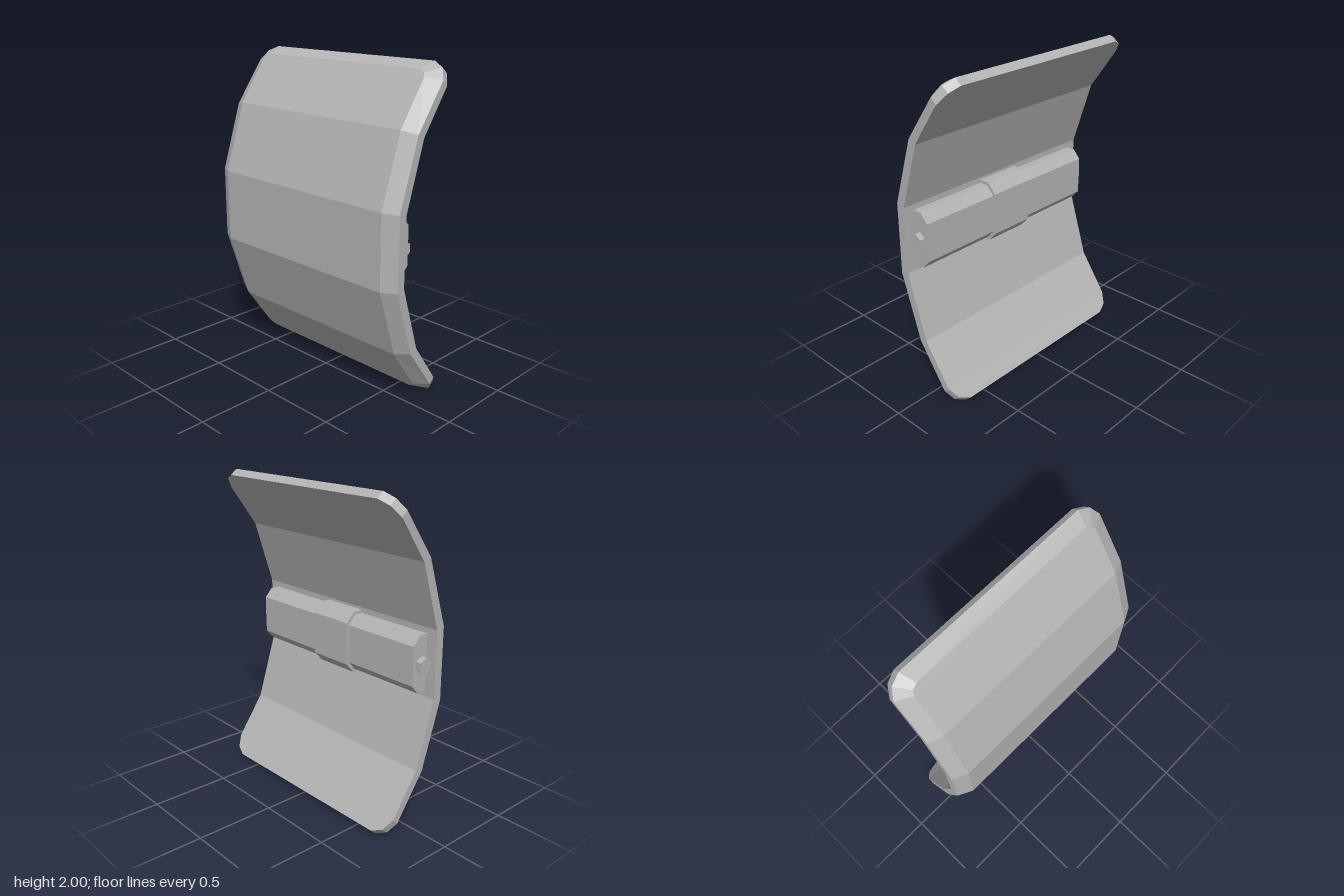
import * as THREE from 'three';

const grey = new THREE.MeshStandardMaterial({ color: 0xb4b4b4, flatShading: true });
grey.name = 'plain grey';

// Rows of the upper half as [half width, height above centre, z]
const FRONT = [[0.61, 0.96, -0.11], [0.645, 0.945, -0.1], [0.66, 0.92, -0.082], [0.66, 0.66, 0.1], [0.66, 0.23, 0.24]];
const RIM = [[0.64, 1, -0.2], [0.71, 0.97, -0.178], [0.75, 0.91, -0.135], [0.75, 0.64, 0.06], [0.75, 0.225, 0.195]];
const BACK = [[0.64, 0.965, -0.24], [0.71, 0.935, -0.218], [0.75, 0.875, -0.17], [0.75, 0.62, 0.01], [0.75, 0.21, 0.14]];

// Closed ring: down the +x side, then up the -x side
function ring(half) {
  const rows = [...half, ...half.map(([w, h, z]) => [w, -h, z]).reverse()];
  const side = rows.map(([w, h, z]) => [w, 1 + h, z]);
  return [...side, ...side.map(([x, y, z]) => [-x, y, z]).reverse()];
}

// Curved panel: front strips, bevel, edge and back strips
function panelGeometry() {
  const [f, r, b] = [FRONT, RIM, BACK].map(ring);
  const n = f.length;
  const pos = [];
  const quad = (p, q, s, t) => pos.push(...p, ...q, ...s, ...p, ...s, ...t);
  for (let i = 0; i < n; i++) {
    const j = (i + 1) % n;
    quad(f[i], f[j], r[j], r[i]);
    quad(r[i], r[j], b[j], b[i]);
  }
  for (let i = 0; i < n / 2 - 1; i++) {
    const l = n - 1 - i;
    quad(f[l], f[l - 1], f[i + 1], f[i]);
    quad(b[i], b[i + 1], b[l - 1], b[l]);
  }
  const g = new THREE.BufferGeometry();
  g.setAttribute('position', new THREE.Float32BufferAttribute(pos, 3));
  g.computeVertexNormals();
  return g;
}

// Chamfered bar running along x, seated against the panel
function barGeometry(halfLength, halfHeight, zBack, chamfer) {
  const c = halfHeight - chamfer;
  const zc = zBack + chamfer * 0.9;
  const pts = [[0.15, -halfHeight], [zc, -halfHeight], [zBack, -c], [zBack, c], [zc, halfHeight], [0.15, halfHeight]];
  const shape = new THREE.Shape(pts.map(([z, y]) => new THREE.Vector2(-z, y)));
  const g = new THREE.ExtrudeGeometry(shape, { depth: 2 * halfLength, bevelEnabled: false });
  return g.translate(0, 1, -halfLength).rotateY(Math.PI / 2);
}

export function createModel() {
  const model = new THREE.Group();
  model.name = 'curvedShield';
  const add = (name, geometry) => {
    const mesh = new THREE.Mesh(geometry, grey);
    mesh.name = name;
    model.add(mesh);
    return mesh;
  };

  add('panel', panelGeometry());
  add('gripBar', barGeometry(0.68, 0.175, 0.03, 0.055));
  add('gripCollar', barGeometry(0.15, 0.195, 0.015, 0.062));

  // Hexagonal pin through the bar ends
  const pin = new THREE.CylinderGeometry(0.05, 0.05, 1.43, 6);
  pin.rotateY(Math.PI / 2).rotateZ(Math.PI / 2);
  add('hexPin', pin).position.set(0, 1, 0.098);

  return model;
}
